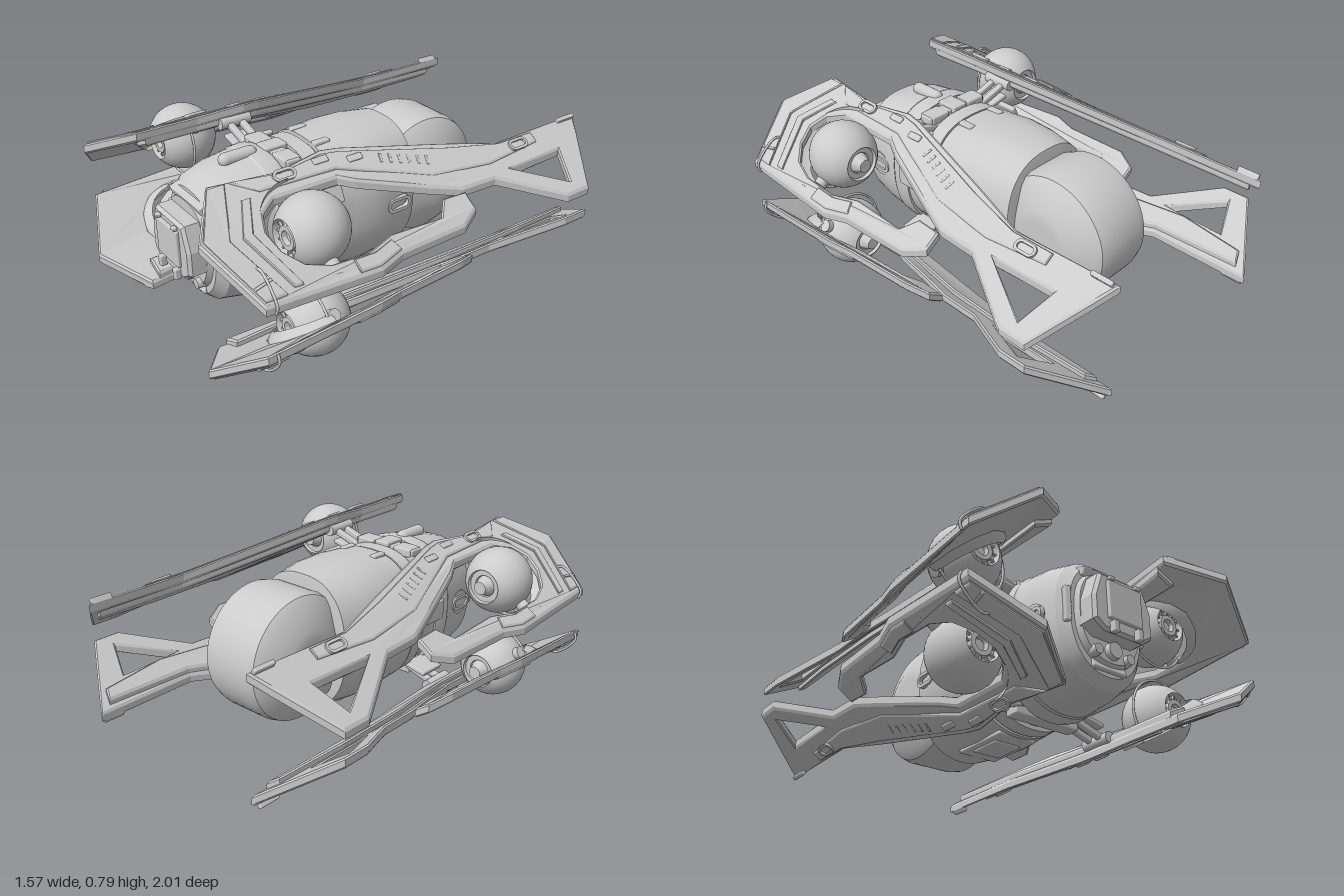
import * as THREE from 'three';
import { toCreasedNormals } from 'three/addons/utils/BufferGeometryUtils.js';
import { RoundedBoxGeometry } from 'three/addons/geometries/RoundedBoxGeometry.js';

const grey = new THREE.MeshStandardMaterial({ color: 0xcccccc, side: THREE.DoubleSide });
const MID = 0.4; // height of the long axis

function add(parent, name, geo, x = 0, y = 0, z = 0, rx = 0, ry = 0, rz = 0) {
  const m = new THREE.Mesh(geo, grey);
  m.name = name;
  m.position.set(x, y, z);
  m.rotation.set(rx, ry, rz);
  parent.add(m);
  return m;
}
const box = (w, h, d, r = 0.008) => new RoundedBoxGeometry(w, h, d, 2, Math.min(r, w / 3, h / 3, d / 3));
const lathe = (pts, n = 40, start = 0, sweep = Math.PI * 2) =>
  toCreasedNormals(new THREE.LatheGeometry(pts.map(p => new THREE.Vector2(...p)), n, start, sweep), 0.5);

// Hull skin from sections [z, halfWidth, top, bottom], back to front, closed at both ends;
// squarer shoulders above, rounder belly below
function hull(sections, n = 48) {
  const first = sections[0], last = sections[sections.length - 1];
  const rows = [[first[0], 0, MID, MID], ...sections, [last[0], 0, MID, MID]];
  const pos = [], idx = [];
  rows.forEach(([z, w, top, bot], i) => {
    for (let j = 0; j < n; j++) {
      const a = j / n * Math.PI * 2, power = j < n / 2 ? 0.78 : 0.9;
      const se = v => Math.sign(v) * Math.abs(v) ** power;
      pos.push(w * se(Math.cos(a)), (top + bot) / 2 + (top - bot) / 2 * se(Math.sin(a)), z);
      if (i === rows.length - 1) continue;
      const p = i * n + j, q = i * n + (j + 1) % n;
      idx.push(p, q, q + n, p, q + n, p + n);
    }
  });
  const g = new THREE.BufferGeometry();
  g.setAttribute('position', new THREE.Float32BufferAttribute(pos, 3));
  g.setIndex(idx);
  g.computeVertexNormals();
  return toCreasedNormals(g, 0.45);
}

// Wings lie on a sloping plane that bows upward toward the nose
const ramp = (v, a, b) => THREE.MathUtils.clamp((v - a) / (b - a), 0, 1);
const slopeY = (x, z) => 0.765 - 0.68 * (x - 0.31) + 0.05 * ramp(x, 0.31, 0.51) * ramp(z, 0, 0.8);
const TILT = -Math.atan(0.68);

// Slab from a plan outline (x, z), laid on the slope
function slab(outline, thick, lift, holes = []) {
  const vec = pts => pts.map(([x, z]) => new THREE.Vector2(x, -z));
  const s = new THREE.Shape(vec(outline));
  holes.forEach(h => s.holes.push(new THREE.Path(vec(h))));
  const b = Math.min(0.008, thick / 4);
  const g = new THREE.ExtrudeGeometry(s, {
    depth: thick - 2 * b, bevelEnabled: true, bevelSize: b, bevelThickness: b, bevelOffset: -b, bevelSegments: 1
  });
  g.rotateX(-Math.PI / 2);
  const p = g.attributes.position;
  for (let i = 0; i < p.count; i++) p.setY(i, p.getY(i) + b - thick / 2 + lift + slopeY(p.getX(i), p.getZ(i)));
  g.computeVertexNormals();
  return g;
}

function stadium(len, r, depth) {
  const s = new THREE.Shape();
  s.absarc(0, len / 2, r, 0, Math.PI);
  s.absarc(0, -len / 2, r, Math.PI, Math.PI * 2);
  const h = new THREE.Path();
  h.absarc(0, len / 2, r * 0.55, 0, Math.PI);
  h.absarc(0, -len / 2, r * 0.55, Math.PI, Math.PI * 2);
  s.holes.push(h);
  return new THREE.ExtrudeGeometry(s, { depth, bevelEnabled: false }).rotateX(-Math.PI / 2);
}

// One wing with its engine, built for the upper left
function wing() {
  const w = new THREE.Group();
  const outline = [
    [.295, .84], [.51, .995], [.765, .88], [.77, .36], [.74, .24], [.725, -.1], [.68, -.2], [.61, -.2],
    [.605, -.08], [.665, -.02], [.665, .24], [.70, .38], [.70, .55], [.67, .65], [.61, .71], [.54, .73],
    [.47, .70], [.42, .62], [.415, .32], [.45, .25], [.55, -.05], [.60, -.2], [.605, -.38], [.765, -.68],
    [.765, -.81], [.55, -.95], [.47, -1], [.475, -.5], [.41, -.24], [.30, .24], [.29, .32], [.32, .54]];
  add(w, 'wingPlate', slab(outline, 0.045, 0, [[[.585, -.79], [.715, -.735], [.59, -.48]]]));
  // stiffening layers above and below the plate
  add(w, 'wingGirder', slab([[.30, .80], [.39, .80], [.395, .3], [.54, -.2], [.57, -.6], [.54, -.92],
    [.49, -.94], [.485, -.5], [.43, -.24], [.315, .24], [.305, .32], [.33, .54]], 0.04, -0.03));
  add(w, 'wingRidge', slab([[.315, .75], [.385, .66], [.385, .3], [.52, -.1], [.55, -.4], [.53, -.7],
    [.49, -.7], [.49, -.5], [.44, -.24], [.325, .25], [.315, .33], [.34, .54]], 0.016, 0.024));
  add(w, 'noseChevron', slab([[.315, .85], [.51, .975], [.75, .87], [.75, .78], [.54, .88], [.315, .77]], 0.016, 0.024));
  add(w, 'noseTrim', slab([[.4, .75], [.54, .83], [.735, .74], [.735, .70], [.54, .785], [.4, .71]], 0.014, 0.024));
  add(w, 'armPad', slab([[.715, .46], [.76, .46], [.76, .36], [.73, .24], [.69, .26], [.715, .36]], 0.016, 0.024));

  // dished shroud sinking from the plate towards the engine
  add(w, 'engineShroud', lathe([[.165, -.045], [.185, -.03], [.205, .0], [.215, .02]], 28, -Math.PI / 2, Math.PI),
    .55, slopeY(.55, .53), .53, 0, 0, TILT);

  // guard rail looping over the outer edge
  const rail = [[.62, 0], [.67, .05], [.75, .045], [.775, .02], [.765, -.02]]
    .map(([x, h]) => new THREE.Vector3(x, slopeY(x, .84) + h, .84));
  add(w, 'guardRail', new THREE.TubeGeometry(new THREE.CatmullRomCurve3(rail), 24, .006, 8));

  // small fittings on the skin
  const fit = (name, geo, x, z, ry = 0) => {
    const g = new THREE.Group();
    g.position.set(x, slopeY(x, z) + 0.03, z);
    g.rotation.z = TILT;
    add(g, name, geo, 0, 0, 0, 0, ry, 0);
    w.add(g);
  };
  fit('ovalPort', stadium(.05, .027, .012), .355, .53);
  fit('ovalPort', stadium(.05, .027, .012), .52, -.59);
  for (let i = 0; i < 6; i++) fit('coolingSlot', box(.045, .012, .012, .003), .40 + i * .012, .09 - i * .04, -.3);
  for (const z of [.2, .35]) fit('wingLatch', box(.03, .02, .07, .005), z > .3 ? .34 : .37, z);
  fit('tipBlock', box(.02, .03, .1, .005), .485, -.93);
  fit('noseBlock', box(.012, .014, .08, .003), .70, .85, .2);

  // engine ball: truncated sphere with stepped intake and exhaust
  const R = 0.152, H = 0.13, prof = [[0, -.09], [.045, -.09], [.05, -.115], [.075, -.115]];
  for (let i = -10; i <= 10; i++) {
    const z = i / 10 * H;
    prof.push([Math.sqrt(R * R - z * z), z]);
  }
  prof.push([.072, .1], [.055, .1], [.05, .12], [.03, .12], [.025, .1], [0, .1]);
  const e = new THREE.Group();
  e.name = 'engine';
  e.position.set(.525, .61, .518);
  add(e, 'engineBall', lathe(prof), 0, 0, 0, Math.PI / 2);
  for (let i = 0; i < 12; i++) {
    const a = i / 12 * Math.PI * 2;
    add(e, 'intakeVane', box(.026, .008, .012, .002), Math.cos(a) * .062, Math.sin(a) * .062, .108, 0, 0, a);
  }
  add(e, 'engineNozzle', lathe([[0, -.02], [.03, -.02], [.035, .0], [.045, .02], [.05, .05], [0, .05]], 24), 0, 0, -.135, Math.PI / 2);
  add(e, 'engineHoop', new THREE.TorusGeometry(.172, .006, 8, 48, Math.PI), 0, 0, .03, 0, 0, Math.PI + TILT);
  for (const s of [-1, 1]) add(e, 'enginePivot', new THREE.CylinderGeometry(.028, .028, .05, 16),
    s * .125, -s * .085, 0, 0, 0, TILT + Math.PI / 2);
  w.add(e);

  // struts joining the wing to the hull
  for (const z of [.33, .39]) add(w, 'wingStrut', box(.2, .03, .03), .23, .69, z, 0, 0, .3);
  add(w, 'strutFairing', box(.12, .022, .14), .23, .66, .36, 0, 0, .2);
  add(w, 'strutJoint', new THREE.CylinderGeometry(.028, .028, .15, 16), .315, .72, .36, Math.PI / 2);
  return w;
}

export function createModel() {
  const root = new THREE.Group();
  const ship = new THREE.Group();
  ship.name = 'ship';
  ship.rotation.y = -0.012;
  root.add(ship);

  // hull shells, nose to tail
  add(ship, 'noseHull', hull([[.5, .262, .715, .08], [.62, .25, .70, .09], [.72, .228, .67, .11], [.765, .19, .63, .15]]));
  add(ship, 'frontHull', hull([[.41, .262, .72, .075], [.44, .272, .725, .07], [.49, .268, .72, .075], [.505, .255, .71, .09]]));
  add(ship, 'waistHull', hull([[.2, .255, .70, .1], [.42, .255, .70, .1]]));
  add(ship, 'waistBand', hull([[.225, .272, .715, .08], [.3, .27, .715, .08]]));
  add(ship, 'rearHull', hull([[-.235, .215, .68, .13], [-.23, .25, .715, .09], [-.1, .28, .73, .075],
    [.04, .297, .73, .07], [.12, .285, .725, .075], [.21, .28, .72, .08]]));

  // broad tail wheel, axle along x, with stepped shoulders
  const tread = [[0, .205], [.1, .215], [.15, .21], [.2, .185], [.25, .165], [.28, .14], [.29, .1]];
  add(ship, 'tailWheel', lathe([...tread.map(([r, h]) => [r, -h]), ...tread.reverse()], 56), 0, .41, -.39, 0, 0, Math.PI / 2);

  // nose hatch, frame and chin gear
  add(ship, 'noseCollar', hull([[.75, .175, .61, .17], [.79, .16, .59, .2]]));
  const hatch = new THREE.Shape([[-.11, .53], [.11, .53], [.145, .43], [.145, .33], [.1, .3], [-.1, .3], [-.145, .33], [-.145, .43]]
    .map(p => new THREE.Vector2(...p)));
  add(ship, 'noseHatch', new THREE.ExtrudeGeometry(hatch, { depth: .09, bevelSize: .012, bevelThickness: .015, bevelSegments: 1 }), 0, 0, .765);
  add(ship, 'hatchPanel', box(.18, .17, .02), 0, .425, .875);
  add(ship, 'browPlate', box(.26, .04, .12), 0, .605, .73, .35);
  add(ship, 'chinSensor', new THREE.CylinderGeometry(.035, .04, .05, 20), 0, .25, .79, Math.PI / 2);
  add(ship, 'chinBlock', box(.18, .05, .08), 0, .185, .735, -.3);
  for (const s of [-1, 1]) {
    add(ship, 'hatchHinge', box(.03, .05, .03, .005), s * .065, .305, .88);
    add(ship, 'hatchClip', box(.03, .015, .02, .004), s * .07, .52, .88);
    add(ship, 'noseRail', box(.03, .16, .07), s * .19, .42, .735, 0, s * .3);
    add(ship, 'chinNozzle', new THREE.CylinderGeometry(.022, .026, .05, 16), s * .085, .235, .785, Math.PI / 2);
    add(ship, 'cheekPlate', box(.025, .14, .2), s * .275, .59, .3, 0, 0, s * .4);
    add(ship, 'sideDrum', new THREE.CylinderGeometry(.06, .06, .05, 24), s * .23, .4, .61, 0, 0, Math.PI / 2);
    add(ship, 'sidePort', stadium(.06, .035, .02), s * .245, .4, .61, 0, 0, -s * Math.PI / 2);
    add(ship, 'sidePort', stadium(.06, .035, .02), s * .27, .4, -.12, 0, 0, -s * Math.PI / 2);
    add(ship, 'sideRail', box(.03, .1, .24), s * .262, .42, .33);
    add(ship, 'roofLatch', box(.035, .03, .08), s * .09, .71, .17);
  }

  // roof spine and cross beam, belly plates
  add(ship, 'spinePod', new THREE.CapsuleGeometry(.03, .12, 6, 16), 0, .715, .53, Math.PI / 2);
  add(ship, 'crossBeam', box(.34, .04, .07), 0, .695, .36);
  add(ship, 'beamClamp', box(.08, .05, .11), 0, .705, .36);
  for (const x of [-.11, .11]) add(ship, 'beamSleeve', box(.1, .04, .085), x, .698, .36);
  add(ship, 'bellyBeam', box(.34, .04, .07), 0, .105, .36);
  add(ship, 'bellyPlate', box(.2, .03, .3), 0, .09, .04);
  add(ship, 'bellyHatch', box(.14, .02, .16), 0, .076, .04);

  // four mirrored wings
  for (const sx of [1, -1]) for (const sy of [1, -1]) {
    const w = wing();
    w.name = (sy > 0 ? 'upper' : 'lower') + (sx > 0 ? 'Left' : 'Right') + 'Wing';
    w.scale.set(sx, sy, 1);
    w.position.y = sy > 0 ? 0 : 2 * MID;
    ship.add(w);
  }
  return root;
}
